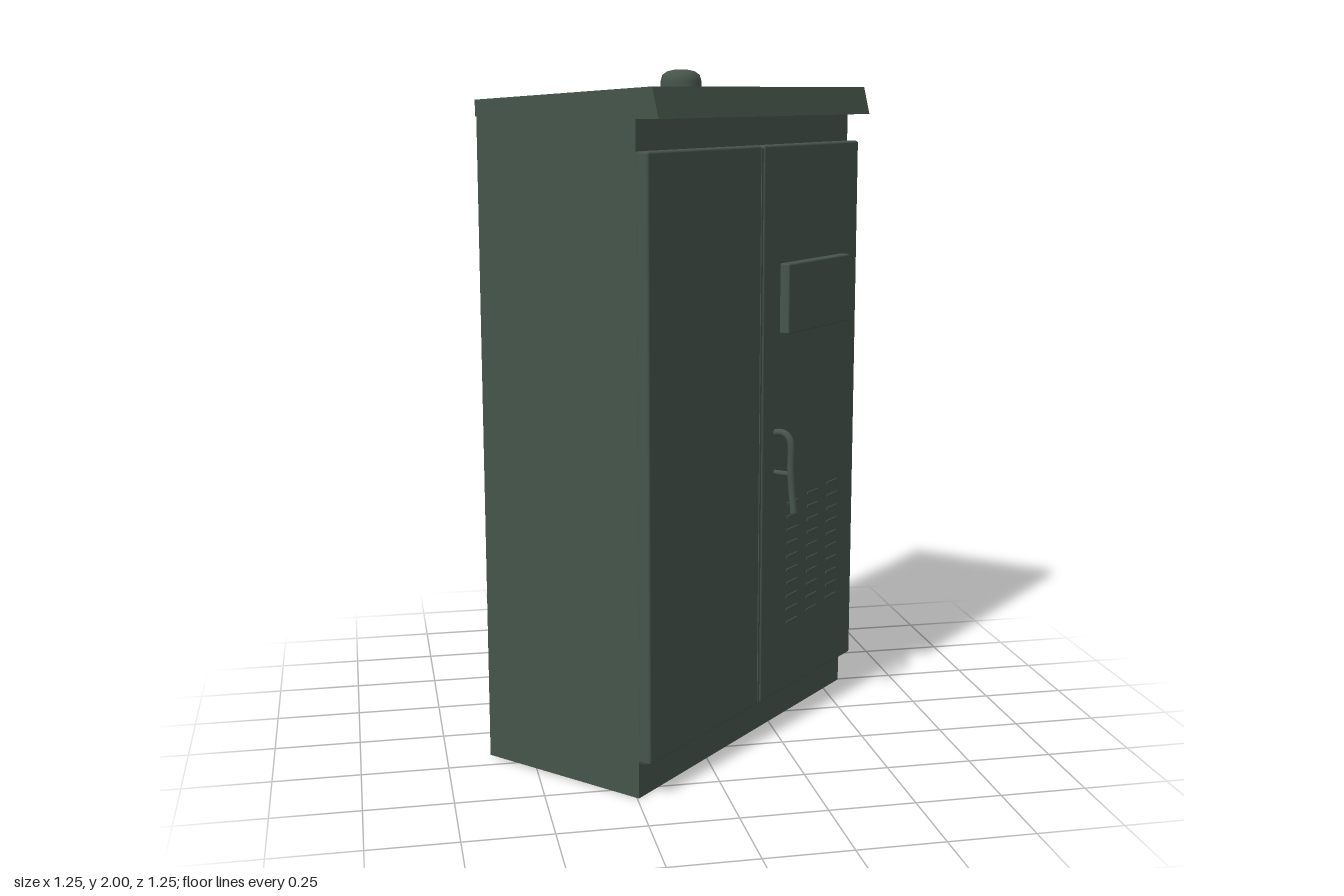
import * as THREE from 'three';
import { RoundedBoxGeometry } from 'three/addons/geometries/RoundedBoxGeometry.js';

export function createModel() {
  const model = new THREE.Group();
  const cabinet = new THREE.Group();
  cabinet.name = 'cabinet';
  cabinet.rotation.y = Math.PI / 4; // the cabinet stands diagonally
  model.add(cabinet);

  const paint = new THREE.MeshStandardMaterial({ color: 0x45544a });
  paint.name = 'dark green paint';

  const add = (name, geometry, x = 0, y = 0, z = 0, parent = cabinet) => {
    const mesh = new THREE.Mesh(geometry, paint);
    mesh.name = name;
    mesh.position.set(x, y, z);
    parent.add(mesh);
    return mesh;
  };

  // Side profile of (depth, height) points, extruded across the width
  const profile = (points, width) => {
    const shape = new THREE.Shape(points.map(p => new THREE.Vector2(...p)));
    const g = new THREE.ExtrudeGeometry(shape, { depth: width, bevelEnabled: false });
    return g.translate(0, 0, -width / 2).rotateY(-Math.PI / 2);
  };

  // Main box, with the plinth and the neck set back behind the doors
  add('body', profile([
    [-0.305, 0.012], [0.23, 0.005], [0.23, 0.11], [0.252, 0.11],
    [0.252, 1.785], [0.23, 1.785], [0.23, 1.885], [-0.305, 1.885],
  ], 1.154));

  // Roof falls to the back, with a flared lip over the doors
  add('roof', profile([
    [-0.307, 1.87], [0.305, 1.868], [0.285, 1.95], [-0.307, 1.915],
  ], 1.16));

  // Pair of doors with a narrow gap
  for (const side of [-1, 1]) {
    add(side < 0 ? 'rightDoor' : 'leftDoor',
      new RoundedBoxGeometry(0.572, 1.675, 0.04, 2, 0.007), side * 0.293, 0.9475, 0.25);
  }
  add('doorSeam', new THREE.BoxGeometry(0.009, 1.66, 0.01), 0, 0.9475, 0.263);

  // Raised plate on the door
  add('doorPlate', new RoundedBoxGeometry(0.375, 0.21, 0.04, 2, 0.006), 0.29, 1.335, 0.28);

  // Handle: bent bar with a lower standoff
  const handle = new THREE.Group();
  handle.name = 'handle';
  cabinet.add(handle);
  const bar = new THREE.CatmullRomCurve3([
    [0.08, 0.935, 0.262], [0.08, 0.938, 0.3], [0.08, 0.92, 0.322],
    [0.08, 0.82, 0.326], [0.08, 0.7, 0.337],
  ].map(p => new THREE.Vector3(...p)));
  add('handleBar', new THREE.TubeGeometry(bar, 24, 0.011, 10), 0, 0, 0, handle);
  add('handleTip', new THREE.SphereGeometry(0.011, 10, 8), 0.08, 0.7, 0.337, handle);
  add('handleStandoff', new THREE.CylinderGeometry(0.008, 0.008, 0.065, 10).rotateX(Math.PI / 2),
    0.08, 0.815, 0.295, handle);

  // Shallow ventilation slats in three staggered columns
  const slat = new RoundedBoxGeometry(0.07, 0.012, 0.008, 1, 0.003);
  [0.19, 0.315, 0.44].forEach((x, column) => {
    for (let row = 0; row < 10; row++) {
      add('ventSlat', slat, x, 0.33 + row * 0.042 + (column - 1) * 0.008, 0.2685);
    }
  });

  // Rounded cap on the roof
  const cap = [[0.06, 0], [0.06, 0.04], [0.055, 0.058], [0.042, 0.068], [0.022, 0.073], [0, 0.074]]
    .map(p => new THREE.Vector2(...p));
  add('roofCap', new THREE.LatheGeometry(cap, 28), -0.005, 1.926, -0.01);

  return model;
}
